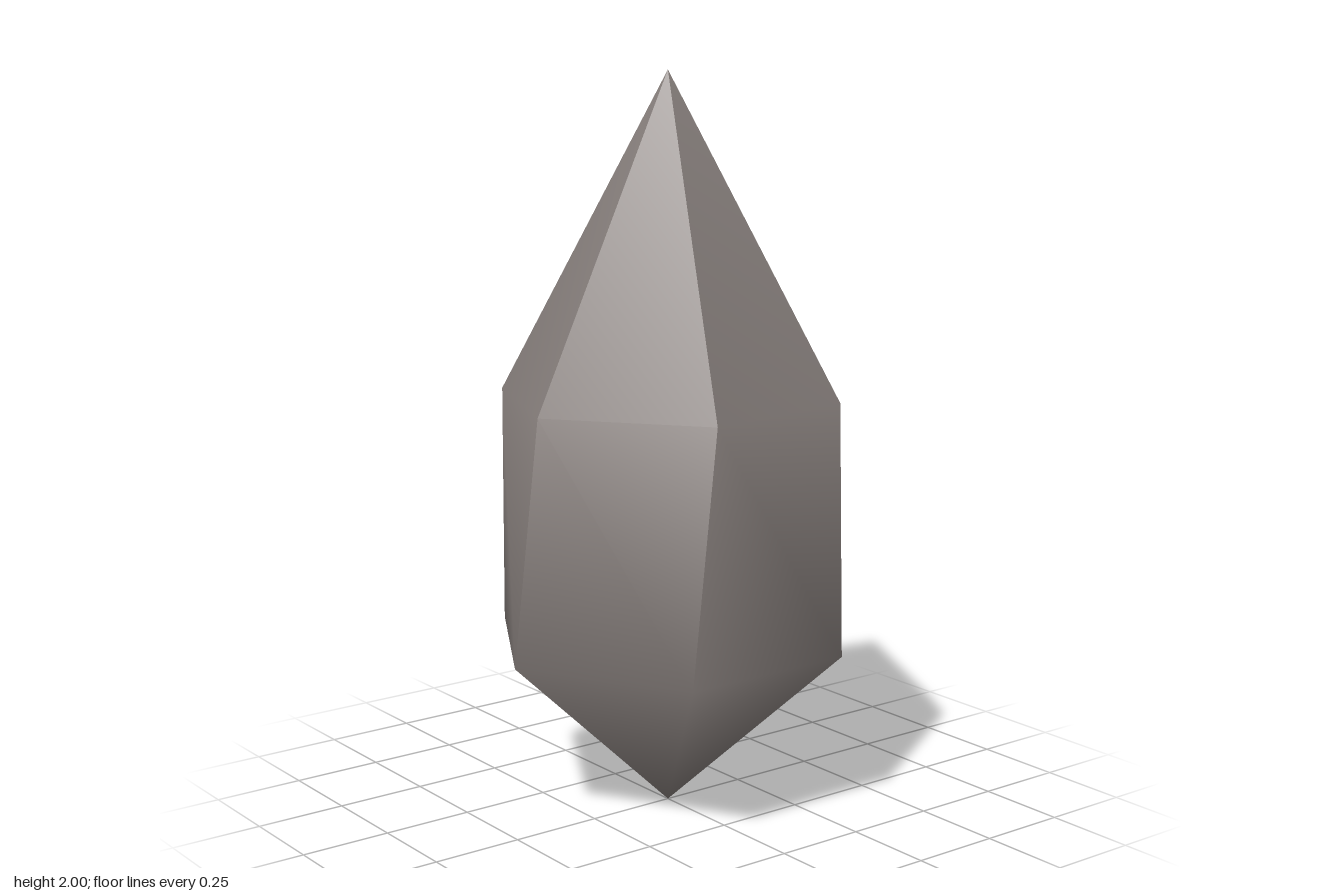
import * as THREE from 'three';

// Six-sided crystal: sharp ridges on the crown, softly shaded belly and base
function crystalGeometry() {
  const sides = 6;
  const twist = THREE.MathUtils.degToRad(-8);
  const pos = [];
  const index = [];
  const add = (x, y, z) => pos.push(x, y, z) / 3 - 1;
  const ring = (i, r, y, turn) => {
    const a = (i / sides) * Math.PI * 2 + turn;
    return add(Math.cos(a) * r, y, Math.sin(a) * r);
  };

  // shared points keep the lower half smooth
  const tip = add(0, 0, 0);
  const girdle = [];
  for (let i = 0; i < sides; i++) girdle.push(ring(i, 0.5, 0.47, 0));

  // each facet owns its shoulder and apex points, so its ridges stay sharp
  for (let i = 0; i < sides; i++) {
    const a = girdle[i];
    const b = girdle[(i + 1) % sides];
    const c = ring(i, 0.468, 1.14, twist);
    const d = ring(i + 1, 0.468, 1.14, twist);
    const apex = add(0, 2, 0);
    index.push(tip, a, b, b, a, d, a, c, d, c, apex, d);
  }

  const geometry = new THREE.BufferGeometry();
  geometry.setAttribute('position', new THREE.Float32BufferAttribute(pos, 3));
  geometry.setIndex(index);
  geometry.computeVertexNormals();
  return geometry;
}

export function createModel() {
  const stone = new THREE.MeshStandardMaterial({ color: 0x8c8481 });
  stone.name = 'warm grey stone';

  const crystal = new THREE.Mesh(crystalGeometry(), stone);
  crystal.name = 'crystal';

  const model = new THREE.Group();
  model.name = 'crystalShard';
  model.add(crystal);
  return model;
}
